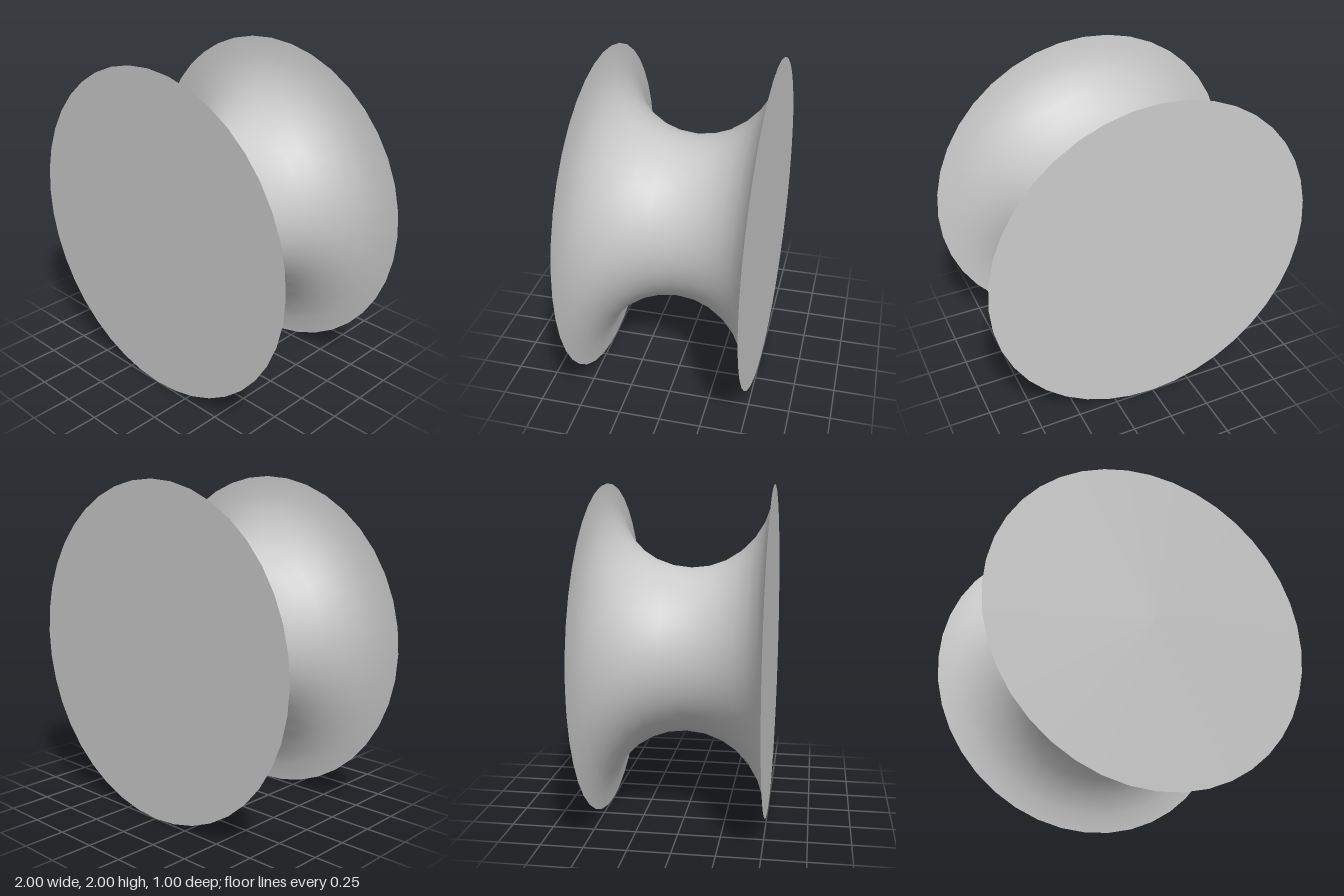
import * as THREE from 'three';

const SIDES = 40;
const RADIUS = 1;
const HALF_WIDTH = 0.5;
const ARC_STEPS = 14;

export function createModel() {
  const group = new THREE.Group();
  group.name = 'spool';
  const material = new THREE.MeshStandardMaterial({ color: 0xcccccc });

  // Waisted body: a half-circle groove turned around the z axis
  const profile = [];
  for (let i = 0; i <= ARC_STEPS; i++) {
    const a = (i / ARC_STEPS - 0.5) * Math.PI;
    profile.push(new THREE.Vector2(RADIUS - HALF_WIDTH * Math.cos(a), HALF_WIDTH * Math.sin(a)));
  }
  const body = new THREE.Mesh(new THREE.LatheGeometry(profile, SIDES), material);
  body.name = 'groovedBody';
  body.rotation.x = Math.PI / 2;
  body.position.y = RADIUS;
  group.add(body);

  // Flat round end faces
  for (const side of [1, -1]) {
    const face = new THREE.Mesh(new THREE.CircleGeometry(RADIUS, SIDES), material);
    face.name = side > 0 ? 'frontFace' : 'backFace';
    face.position.set(0, RADIUS, side * HALF_WIDTH);
    if (side < 0) face.rotation.y = Math.PI;
    group.add(face);
  }
  return group;
}
